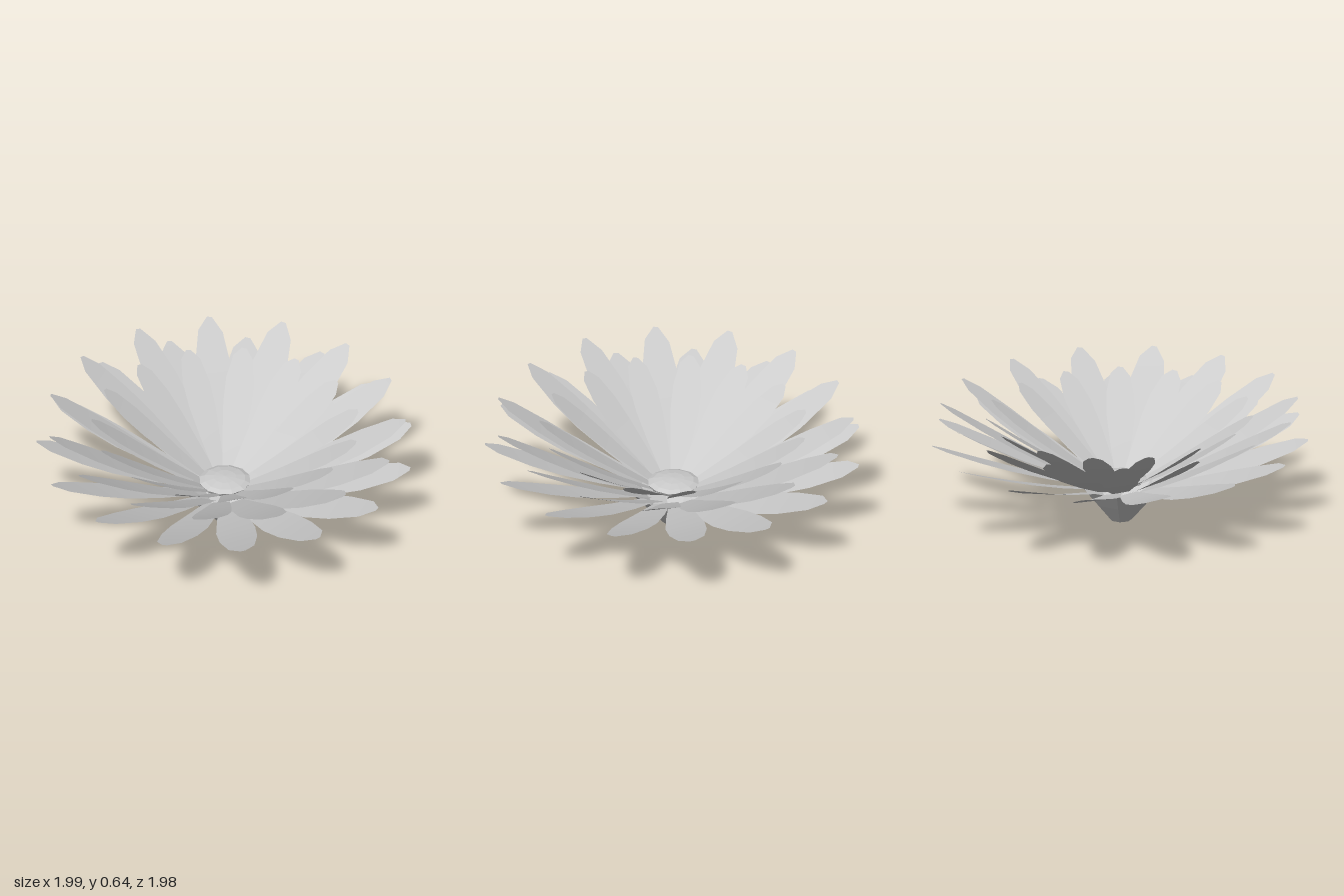
import * as THREE from 'three';

const petalMaterial = new THREE.MeshStandardMaterial({ color: 0xcccccc, side: THREE.DoubleSide });
const facetMaterial = new THREE.MeshStandardMaterial({
  color: 0xcccccc, flatShading: true, side: THREE.DoubleSide,
});

// Petal outline: [position along the petal, half width as a fraction of the widest]
const broad = [[0, 0.45], [0.25, 0.77], [0.5, 1], [0.7, 0.96], [0.91, 0.66], [1, 0.13]];
const slender = [[0, 0.42], [0.3, 0.75], [0.55, 0.98], [0.75, 1], [0.93, 0.7], [1, 0.18]];

// Every petal is rolled about its own length, so that the rings overlap like a pinwheel
const roll = THREE.MathUtils.degToRad(10);

// One thin petal running outwards along +z, curving gently upwards
function petalGeometry({ outline, base, tip, halfWidth, sag }) {
  const positions = [], indices = [];
  outline.forEach(([t, w], i) => {
    const z = THREE.MathUtils.lerp(base[0], tip[0], t);
    const y = THREE.MathUtils.lerp(base[1], tip[1], t) - sag * 4 * t * (1 - t);
    const dx = w * halfWidth * Math.cos(roll), dy = w * halfWidth * Math.sin(roll);
    positions.push(-dx, y - dy, z, dx, y + dy, z);
    if (i > 0) {
      const a = 2 * i - 2;
      indices.push(a, a + 2, a + 1, a + 1, a + 2, a + 3);
    }
  });
  const geometry = new THREE.BufferGeometry();
  geometry.setAttribute('position', new THREE.Float32BufferAttribute(positions, 3));
  geometry.setIndex(indices);
  geometry.computeVertexNormals();
  return geometry;
}

// A ring of equal petals
function petalRing(name, count, offset, options) {
  const ring = new THREE.Group();
  ring.name = name;
  const geometry = petalGeometry(options);
  for (let i = 0; i < count; i++) {
    const petal = new THREE.Mesh(geometry, petalMaterial);
    petal.name = 'petal';
    petal.rotation.y = offset + (i / count) * Math.PI * 2;
    ring.add(petal);
  }
  return ring;
}

// A faceted turned part from [radius, height] points
function turned(name, profile, sides) {
  const points = profile.map(([r, y]) => new THREE.Vector2(r, y));
  const mesh = new THREE.Mesh(new THREE.LatheGeometry(points, sides), facetMaterial);
  mesh.name = name;
  return mesh;
}

export function createModel() {
  const flower = new THREE.Group();
  flower.name = 'flower';
  const count = 15, half = Math.PI / count;

  // Three rings of petals, the middle one set between the others
  const petals = new THREE.Group();
  petals.name = 'petals';
  petals.add(
    petalRing('outerPetals', count, 0,
      { outline: broad, base: [0.19, 0.207], tip: [1, 0.463], halfWidth: 0.105, sag: 0.018 }),
    petalRing('middlePetals', count, half,
      { outline: broad, base: [0.17, 0.207], tip: [0.95, 0.628], halfWidth: 0.1, sag: 0.016 }),
    petalRing('innerPetals', count, -0.02,
      { outline: slender, base: [0.12, 0.222], tip: [0.71, 0.595], halfWidth: 0.076, sag: 0.015 }),
  );
  // The bloom leans back very slightly
  petals.rotation.x = -0.012;
  flower.add(petals);

  // Flaring calyx below the petals
  flower.add(turned('calyx', [[0, 0], [0.06, 0], [0.15, 0.105], [0.23, 0.2]], 8));

  // Low faceted dome in the middle
  flower.add(turned('centreDome',
    [[0.125, 0.215], [0.137, 0.235], [0.11, 0.247], [0.06, 0.256], [0, 0.26]], 12));

  return flower;
}
